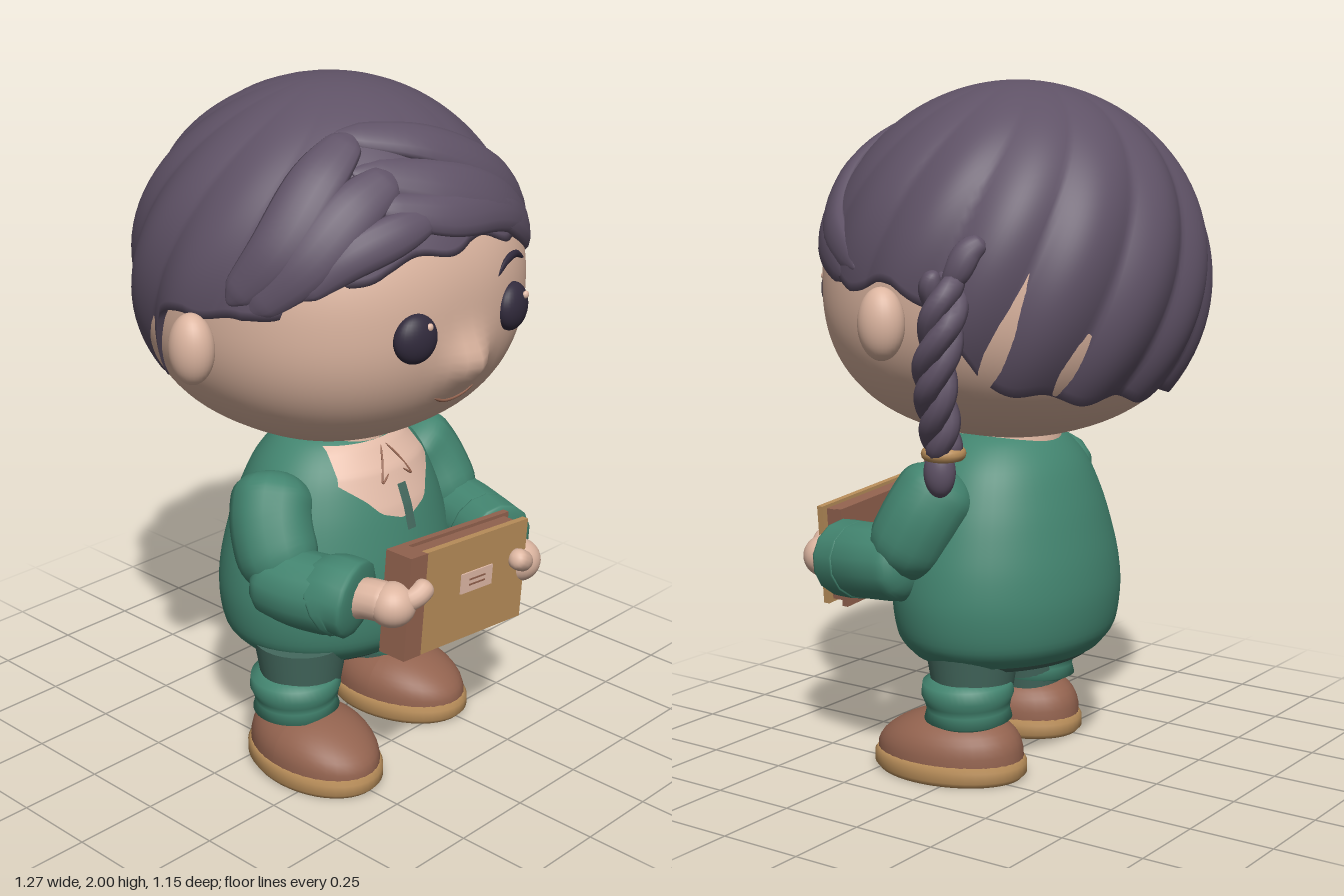
import * as THREE from 'three';
import { mergeVertices } from 'three/addons/utils/BufferGeometryUtils.js';

const V = (x, y, z) => new THREE.Vector3(x, y, z);

export function createModel() {
  const model = new THREE.Group();
  const paint = (name, color, side = THREE.FrontSide) => {
    const m = new THREE.MeshStandardMaterial({ color, side });
    m.name = name;
    return m;
  };
  const skin = paint('skin', 0xdcb5a0), hairMat = paint('hair', 0x5f5266, THREE.DoubleSide);
  const green = paint('green cloth', 0x438570, THREE.DoubleSide), darkGreen = paint('dark green cloth', 0x44695e);
  const brown = paint('brown leather', 0x93634f), tan = paint('tan', 0xb98e5a);
  const dark = paint('dark eye', 0x322b3d), pale = paint('pale pink', 0xe2bba8, THREE.DoubleSide);

  const add = (name, geo, mat, pos = [0, 0, 0], scale = [1, 1, 1], parent = model) => {
    const m = new THREE.Mesh(geo, mat);
    m.name = name;
    m.position.set(...pos);
    m.scale.set(...scale);
    parent.add(m);
    return m;
  };
  const ball = (name, mat, pos, scale, parent) => add(name, new THREE.SphereGeometry(1, 28, 20), mat, pos, scale, parent);
  const gridIndex = (rows, cols, wrapCols) => {
    const idx = [], stride = wrapCols ? cols : cols + 1;
    for (let i = 0; i < rows; i++) for (let j = 0; j < cols; j++) {
      const k = wrapCols ? (j + 1) % cols : j + 1;
      const a = i * stride + j, b = a + stride, c = i * stride + k, d = c + stride;
      idx.push(a, b, c, b, d, c);
    }
    return idx;
  };
  const surface = (pos, idx) => {
    const g = new THREE.BufferGeometry();
    g.setAttribute('position', new THREE.Float32BufferAttribute(pos, 3));
    g.setIndex(idx);
    g.computeVertexNormals();
    return g;
  };
  // Sweeps an ellipse (half width, half thickness) along a smooth path; "out" gives the thickness direction
  const sweep = (pts, section, out, rings = 30, sides = 14) => {
    const curve = new THREE.CatmullRomCurve3(pts), pos = [];
    for (let i = 0; i <= rings; i++) {
      const s = (1 - Math.cos(Math.PI * i / rings)) / 2;
      const c = curve.getPoint(s), T = curve.getTangent(s);
      const B = T.clone().cross(out(c)).normalize(), N = B.clone().cross(T);
      const [w, t] = section(s);
      for (let j = 0; j < sides; j++) {
        const a = j / sides * Math.PI * 2;
        const p = c.clone().addScaledVector(B, w * Math.cos(a)).addScaledVector(N, t * Math.sin(a));
        pos.push(p.x, p.y, p.z);
      }
    }
    return surface(pos, gridIndex(rings, sides, true));
  };
  const rounded = (r, cap = 0.22) => s => {
    const d = Math.min(1, Math.min(s, 1 - s) / cap), k = r * Math.sqrt(Math.max(0, 1 - (1 - d) ** 2));
    return [k, k];
  };
  const zAxis = () => V(0, 0, 1), xAxis = () => V(1, 0, 0);

  // Head: soft box-like ellipsoid with a nose bump
  const HX = 0.54, HY = 0.44, HZ = 0.52, CY = 1.42, P = 2.3;
  const nose = (x, y) => 0.062 * Math.exp(-((x / 0.07) ** 2) - ((y - 1.28) / 0.075) ** 2);
  const faceZ = (x, y) => HZ * Math.max(0, 1 - Math.abs(x / HX) ** P - Math.abs((y - CY) / HY) ** P) ** (1 / P) + nose(x, y);
  let headGeo = new THREE.SphereGeometry(1, 80, 60);
  headGeo.deleteAttribute('uv');
  headGeo.deleteAttribute('normal');
  headGeo = mergeVertices(headGeo, 1e-5);
  const hp = headGeo.attributes.position;
  for (let i = 0; i < hp.count; i++) {
    const x = hp.getX(i), y = hp.getY(i), z = hp.getZ(i);
    const k = (Math.abs(x) ** P + Math.abs(y) ** P + Math.abs(z) ** P) ** (-1 / P);
    const X = x * k * HX, Y = CY + y * k * HY;
    hp.setXYZ(i, X, Y, z * k * HZ + (z > 0 ? nose(X, Y) : 0));
  }
  headGeo.computeVertexNormals();
  add('head', headGeo, skin);
  add('neck', new THREE.CylinderGeometry(0.15, 0.17, 0.12, 32), skin, [0, 0.97, 0.02]);

  for (const s of [-1, 1]) {
    ball('ear', skin, [s * 0.575, 1.35, 0.035], [0.06, 0.1, 0.067]);
    ball('eye', dark, [s * 0.2, 1.395, 0.497], [0.067, 0.069, 0.04]).rotation.y = s * 0.22;
    ball('eyeGlint', pale, [s * 0.2 + 0.02, 1.43, 0.53], [0.011, 0.011, 0.008]);
  }
  const onFace = (list, lift) => list.map(([x, y]) => V(x, y, faceZ(x, y) + lift));
  add('eyebrow', sweep(onFace([[0.12, 1.5], [0.17, 1.53], [0.23, 1.535], [0.3, 1.505]], 0.004),
    s => [0.012 * Math.sin(Math.PI * s) ** 0.6, 0.008 * Math.sin(Math.PI * s)], zAxis), dark);
  add('smile', sweep(onFace([[-0.08, 1.187], [-0.04, 1.17], [0, 1.165], [0.04, 1.17], [0.08, 1.187]], 0.001), rounded(0.005), zAxis), brown);

  // Hair cap: fluted ellipsoid trimmed along a hairline (angle from the front, height)
  const A = 0.565, B = 0.55, C = 0.55, HC = 1.45, ZC = -0.015;
  const line = [[0, 1.62], [0.5, 1.585], [0.9, 1.5], [1.2, 1.44], [1.55, 1.45], [1.75, 1.4], [1.98, 1.19], [2.4, 1.14], [3.15, 1.125]];
  const interp = (tab, x) => {
    const i = Math.max(1, tab.findIndex(p => p[0] >= x)), [x0, y0] = tab[i - 1], [x1, y1] = tab[i];
    return y0 + (y1 - y0) * (x - x0) / (x1 - x0);
  };
  const NT = 224, NP = 36, hair = [];
  for (let i = 0; i <= NT; i++) {
    const th = -Math.PI + i / NT * Math.PI * 2;
    const yEnd = interp(line, Math.min(3.14, Math.abs(th))) + 0.014 * Math.sin(th * 14);
    const end = Math.acos((yEnd - HC) / B);
    for (let j = 0; j <= NP + 1; j++) {
      const ph = end * Math.min(j, NP) / NP;
      const back = THREE.MathUtils.smoothstep(-Math.cos(th), -0.8, 0.1);
      const flute = 0.05 * (Math.abs(Math.cos(7 * (th + 0.45 * ph))) - 0.6) * Math.sin(Math.min(ph, 1.57)) * (0.25 + 0.75 * back);
      const r = Math.sin(ph) * (1 + flute) * (j > NP ? 0.87 : 1);
      hair.push(A * r * Math.sin(th), HC + B * Math.cos(ph) + (j > NP ? 0.015 : 0), ZC + C * r * Math.cos(th));
    }
  }
  const hairIdx = gridIndex(NT, NP + 1, false);
  for (let i = 0; i < hairIdx.length; i += 3) [hairIdx[i + 1], hairIdx[i + 2]] = [hairIdx[i + 2], hairIdx[i + 1]];
  add('hairCap', surface(hair, hairIdx), hairMat);

  // Swept fringe locks lying on the cap
  const outward = p => V(p.x / A, (p.y - HC) / B, (p.z - ZC) / C).normalize();
  const onHair = ([x, y]) => V(x, y, ZC + C * Math.sqrt(Math.max(0.01, 1 - (x / A) ** 2 - ((y - HC) / B) ** 2)));
  const taper = (w, t) => s => { const k = Math.sin(Math.PI * (0.1 + 0.82 * s)) ** 0.6 * Math.min(1, 14 * Math.min(s, 1 - s)) ** 0.5; return [w * k, t * k]; };
  const locks = [
    [0.075, [[-0.22, 1.9], [0, 1.86], [0.25, 1.74], [0.42, 1.6], [0.535, 1.49]]],
    [0.085, [[-0.25, 1.82], [0, 1.76], [0.2, 1.68], [0.4, 1.56], [0.52, 1.46]]],
    [0.07, [[-0.25, 1.74], [-0.05, 1.7], [0.15, 1.68], [0.3, 1.62], [0.44, 1.52]]],
    [0.08, [[-0.18, 1.9], [-0.33, 1.8], [-0.46, 1.64], [-0.54, 1.49]]],
    [0.08, [[-0.15, 1.81], [-0.3, 1.73], [-0.42, 1.61], [-0.52, 1.47]]],
    [0.06, [[-0.1, 1.7], [-0.22, 1.67], [-0.34, 1.62], [-0.45, 1.52]]],
  ];
  for (const [w, pts] of locks) add('fringeLock', sweep(pts.map(onHair), taper(w, 0.032), outward, 36), hairMat);
  add('looseLock', sweep([V(0.5, 1.58, -0.25), V(0.53, 1.55, -0.22), V(0.55, 1.5, -0.2), V(0.56, 1.45, -0.17)], taper(0.04, 0.03), outward), hairMat);

  // Side braid of three twisted strands
  const braid = new THREE.CatmullRomCurve3([V(0.54, 1.5, -0.15), V(0.575, 1.37, -0.17), V(0.565, 1.22, -0.135), V(0.52, 1.09, -0.115), V(0.48, 0.98, -0.1)]);
  for (let k = 0; k < 3; k++) {
    const pts = [];
    for (let i = 0; i <= 24; i++) {
      const a = i / 24 * Math.PI * 3.6 + k * Math.PI * 2 / 3, r = 0.036 - 0.014 * i / 24;
      pts.push(braid.getPoint(i / 24).add(V(r * Math.cos(a), 0, r * Math.sin(a))));
    }
    add('braidStrand', sweep(pts, rounded(0.034, 0.1), xAxis, 60, 10), hairMat);
  }
  ball('braidTip', hairMat, [0.485, 0.945, -0.09], [0.042, 0.07, 0.045]);
  add('braidTie', new THREE.TorusGeometry(0.042, 0.02, 12, 28), tan, [0.48, 0.998, -0.1]).rotation.x = Math.PI / 2;

  // Jacket
  const profile = [[0.345, 0.325], [0.4, 0.372], [0.5, 0.39], [0.6, 0.382], [0.7, 0.357], [0.8, 0.322], [0.9, 0.27], [0.97, 0.2], [1, 0.13]];
  const jacketPts = new THREE.SplineCurve(profile.map(([y, r]) => new THREE.Vector2(r, y))).getPoints(40);
  add('jacket', new THREE.LatheGeometry(jacketPts, 56), green, [0, 0, 0.02], [1, 1, 0.8]);
  const under = [[0, 0.3], [0.2, 0.305], [0.29, 0.325], [0.325, 0.35]].map(p => new THREE.Vector2(...p));
  add('trouserSeat', new THREE.LatheGeometry(under, 56), darkGreen, [0, 0, 0.02], [1, 1, 0.8]);

  // Thin panels laid over the front of the jacket
  const frontZ = (x, y) => 0.02 + 0.8 * Math.sqrt(Math.max(0, interp(profile, y) ** 2 - x * x));
  const panel = (name, mat, y0, y1, half, lift) => {
    const g = new THREE.PlaneGeometry(1, 1, 20, 20), p = g.attributes.position;
    for (let i = 0; i < p.count; i++) {
      const y = y0 + (y1 - y0) * (p.getY(i) + 0.5), x = p.getX(i) * 2 * half(y);
      p.setXYZ(i, x, y, frontZ(x, y) + lift);
    }
    g.computeVertexNormals();
    add(name, g, mat);
  };
  const bib = [[0.765, 0.02], [0.79, 0.09], [0.83, 0.125], [0.88, 0.185], [0.92, 0.175], [0.975, 0.16]];
  panel('shirtBib', pale, 0.766, 0.974, y => interp(bib, y), 0.014);
  panel('upperPlacket', darkGreen, 0.73, 0.86, () => 0.017, 0.024);
  panel('lowerPlacket', darkGreen, 0.36, 0.46, () => 0.017, 0.012);
  for (const s of [-1, 1]) {
    const pts = [[0.01, 0.96], [0.035, 0.92], [0.06, 0.87], [0.03, 0.89]].map(([x, y]) => V(s * x, y, frontZ(x, y) + 0.016));
    add('collarSeam', sweep(pts, rounded(0.003), zAxis), brown);
  }

  // Arms and hands
  for (const s of [-1, 1]) {
    const dy = s < 0 ? 0.05 : 0, m = (x, y, z) => V(s * x, y, z);
    add('upperSleeve', sweep([m(0.26, 0.9, 0.03), m(0.33, 0.78, 0.08), m(0.355, 0.6, 0.17)], rounded(0.12, 0.3), xAxis), green);
    add('lowerSleeve', sweep([m(0.36, 0.64, 0.08), m(0.355, 0.63, 0.22), m(0.31, 0.61 + dy / 2, 0.4)], rounded(0.112, 0.25), xAxis), green);
    add('sleeveCuff', sweep([m(0.34, 0.62, 0.29), m(0.325, 0.615 + dy / 2, 0.34), m(0.305, 0.61 + dy / 2, 0.41)], rounded(0.115, 0.15), xAxis), green);
    add('wrist', sweep([m(0.32, 0.61 + dy / 2, 0.36), m(0.3, 0.6 + dy, 0.43), m(0.28, 0.6 + dy, 0.5)], rounded(0.058), xAxis), skin);
    ball('hand', skin, [s * 0.275, 0.595 + dy, 0.495], [0.068, 0.064, 0.066]);
    add('thumb', sweep([m(0.27, 0.6 + dy, 0.515), m(0.225, 0.625 + dy, 0.545), m(0.185, 0.65 + dy, 0.545)], rounded(0.032, 0.3), zAxis), skin);
  }

  // Held book
  const book = new THREE.Group();
  book.name = 'book';
  book.position.set(0, 0.61, 0.485);
  book.rotation.z = -0.085;
  model.add(book);
  const box = (name, mat, w, h, d, x, y, z) => add(name, new THREE.BoxGeometry(w, h, d), mat, [x, y, z], [1, 1, 1], book);
  box('backCover', brown, 0.51, 0.305, 0.02, 0, 0, -0.035);
  box('pages', brown, 0.48, 0.285, 0.06, -0.005, 0, 0);
  box('frontCover', tan, 0.445, 0.305, 0.02, 0.033, 0, 0.037);
  box('spine', brown, 0.07, 0.305, 0.09, -0.222, 0, 0.004);
  box('label', pale, 0.135, 0.06, 0.006, 0.035, 0.02, 0.049);
  for (const y of [0.028, 0.012]) box('labelLine', brown, 0.07, 0.005, 0.004, 0.035, y, 0.0515);

  // Legs and shoes, one foot a little ahead
  const cuffPts = [[0.1, 0.16], [0.128, 0.175], [0.12, 0.205], [0.125, 0.225], [0.135, 0.25], [0.13, 0.285], [0.1, 0.295]];
  const solePts = [[0, 0], [0.94, 0], [1, 0.015], [1, 0.045], [0.95, 0.06], [0, 0.062]];
  const lathe = pts => new THREE.LatheGeometry(pts.map(p => new THREE.Vector2(...p)), 44);
  for (const s of [-1, 1]) {
    const leg = new THREE.Group();
    leg.name = s > 0 ? 'leftLeg' : 'rightLeg';
    leg.position.set(s > 0 ? 0.225 : -0.25, 0, s > 0 ? 0 : 0.1);
    model.add(leg);
    add('trouserLeg', new THREE.CylinderGeometry(0.14, 0.1, 0.24, 32), darkGreen, [s * -0.015, 0.27, 0], [1, 1, 1], leg);
    const cuff = add('trouserCuff', lathe(cuffPts), green, [0, 0, 0], [1, 1, 1], leg);
    cuff.rotation.z = s * -0.04;
    const shoe = new THREE.Group();
    shoe.name = 'shoe';
    shoe.position.z = 0.07;
    shoe.rotation.y = s * 0.1;
    leg.add(shoe);
    add('sole', lathe(solePts), tan, [0, 0, 0], [0.168, 1, 0.24], shoe);
    const g = new THREE.SphereGeometry(1, 36, 24), p = g.attributes.position;
    for (let i = 0; i < p.count; i++) {
      const z = p.getZ(i), y = Math.max(0, p.getY(i));
      p.setY(i, 0.135 * y ** 0.75 * (z > 0 ? 1 - 0.3 * z * z : 1 + 0.15 * z * z));
    }
    g.computeVertexNormals();
    add('shoeUpper', g, brown, [0, 0.052, 0], [0.16, 1, 0.23], shoe);
  }
  return model;
}
